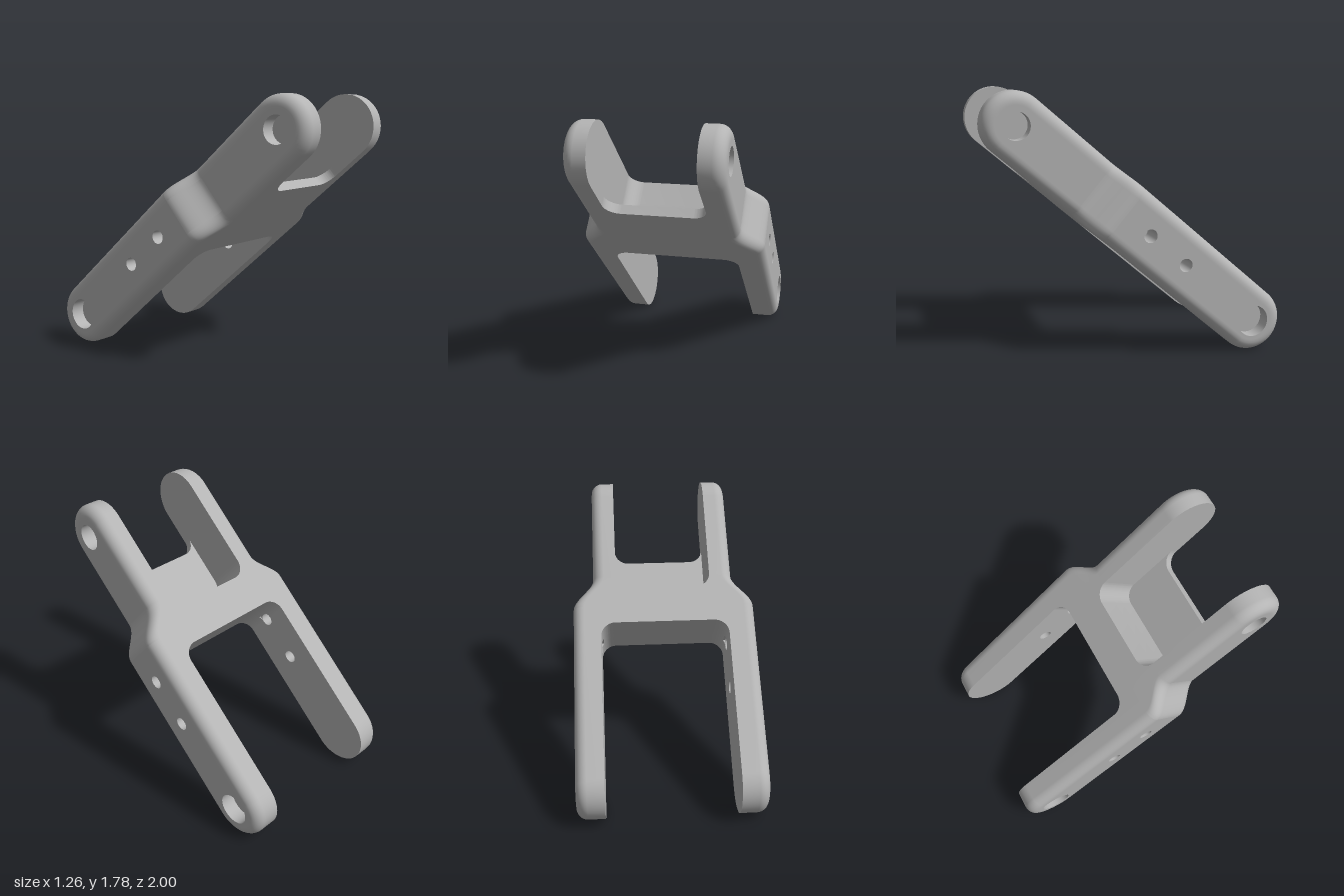
import * as THREE from 'three';
import { toCreasedNormals } from 'three/addons/utils/BufferGeometryUtils.js';

const R = 0.215, LEN = 2.071;         // arm half height, distance between pivots
const T0 = 1.2, T1 = 1.43;            // where the arms step inward
const FILLET = 0.075, INSET = 0.085;  // outer edge rounding, edge of the flat face
const STEPS = 14;
const BOLTS = [0.656, 0.98], BOLT_R = 0.045;

const innerX = u => (u < T0 - 1e-5 ? 0.44 : 0.33);
const outerX = u => 0.63 - 0.14 * THREE.MathUtils.smoothstep(u, T0, T1);

// Lengthwise samples of the step
const stepU = Array.from({ length: STEPS + 1 }, (_, i) => T0 + (T1 - T0) * i / STEPS);

// Closed arm outline (u along the arm, v across), inset by d
function outline(d) {
  const r = R - d, us = [0, T0 - 1e-4, ...stepU, LEN], pts = [], N = 28;
  us.forEach(u => pts.push(new THREE.Vector2(u, -r)));
  for (let i = 1; i < N; i++) {
    const a = Math.PI * i / N;
    pts.push(new THREE.Vector2(LEN + r * Math.sin(a), -r * Math.cos(a)));
  }
  us.slice().reverse().forEach(u => pts.push(new THREE.Vector2(u, r)));
  for (let i = 1; i < N; i++) {
    const a = Math.PI * i / N;
    pts.push(new THREE.Vector2(-r * Math.sin(a), r * Math.cos(a)));
  }
  return pts;
}

function indexed(pos, idx) {
  const g = new THREE.BufferGeometry();
  g.setAttribute('position', new THREE.Float32BufferAttribute(pos, 3));
  g.setIndex(idx);
  g.computeVertexNormals();
  return g;
}

// Reverse the facing of an indexed geometry
function flip(g, turnNormals = true) {
  const a = g.index.array, n = g.attributes.normal.array;
  for (let i = 0; i < a.length; i += 3) [a[i], a[i + 1]] = [a[i + 1], a[i]];
  if (turnNormals) for (let i = 0; i < n.length; i++) n[i] *= -1;
  return g;
}

// Rim wall with rounded outer edge
function rim() {
  const rows = [[0, null]];
  for (let i = 0; i <= 7; i++) {
    const t = Math.PI / 2 * i / 7;
    rows.push([FILLET * (1 - Math.cos(t)), FILLET * (Math.sin(t) - 1)]);
  }
  rows.push([INSET, 0]);
  const pos = [], idx = [], n = outline(0).length;
  rows.forEach(([d, dx], i) => outline(d).forEach((p, j) => {
    pos.push(dx === null ? innerX(p.x) : outerX(p.x) + dx, p.y, p.x);
    if (i === rows.length - 1) return;
    const a = i * n + j, b = i * n + (j + 1) % n;
    idx.push(a, a + n, b, b, a + n, b + n);
  }));
  return indexed(pos, idx);
}

// Flat side face at x with round holes [u, radius]
function face(x, d, keep, holes, outward) {
  const shape = new THREE.Shape(outline(d).filter(p => keep(p.x)));
  holes.forEach(([u, r]) => shape.holes.push(new THREE.Path().absarc(u, 0, r, 0, Math.PI * 2, true)));
  const g = new THREE.ShapeGeometry(shape, 24).rotateY(-Math.PI / 2).translate(x, 0, 0);
  return outward ? flip(g) : g;
}

// Sloped face of the step
function stepFace() {
  const pos = [], idx = [], w = R - INSET;
  stepU.forEach((u, i) => {
    pos.push(outerX(u), -w, u, outerX(u), w, u);
    const a = 2 * i;
    if (i < STEPS) idx.push(a, a + 1, a + 2, a + 1, a + 3, a + 2);
  });
  return indexed(pos, idx);
}

// Inward-facing wall of a hole
const bore = (u, r, x0, x1) => flip(new THREE.CylinderGeometry(r, r, x1 - x0, 48, 1, true)
  .rotateZ(Math.PI / 2).translate((x0 + x1) / 2, 0, u));

const boreFloor = (u, r, x) => new THREE.CircleGeometry(r, 48).rotateY(Math.PI / 2).translate(x, 0, u);

// Plan shape (x, u) extruded between two heights
function slab(shape, low, high) {
  const g = new THREE.ExtrudeGeometry(shape, { depth: high - low, bevelEnabled: false, curveSegments: 12 });
  return toCreasedNormals(g.rotateX(Math.PI / 2).translate(0, high, 0), 0.6);
}

// Concave rounded end of the front slot, its floor at u
function slotEnd(s, u) {
  s.lineTo(-0.33, u + 0.1);
  s.absarc(-0.23, u + 0.1, 0.1, Math.PI, Math.PI * 1.5, false);
  s.absarc(0.23, u + 0.1, 0.1, Math.PI * 1.5, Math.PI * 2, false);
}

// Bridge plan; cut trims the rear corners clear of the bolt holes
function bridgeShape(cut) {
  const a = Math.asin(cut / 0.1), s = new THREE.Shape();
  s.moveTo(0.44, T0);
  s.lineTo(0.44, 0.975 + cut);
  s.absarc(0.34, 0.975, 0.1, a, Math.PI / 2, false);
  s.absarc(-0.34, 0.975, 0.1, Math.PI / 2, Math.PI - a, false);
  s.lineTo(-0.44, 0.975 + cut);
  s.lineTo(-0.44, T0);
  s.lineTo(-0.33, T0);
  slotEnd(s, 1.335);
  s.lineTo(0.33, T0);
  return s;
}

function webShape() {
  const s = new THREE.Shape();
  s.moveTo(-0.33, 1.335);
  slotEnd(s, 1.716);
  s.lineTo(0.33, 1.335);
  return s;
}

export function createModel() {
  const metal = new THREE.MeshStandardMaterial({ color: 0xb4b4b4, side: THREE.DoubleSide });
  metal.name = 'grey metal';
  const model = new THREE.Group();
  model.name = 'linkArm';
  const add = (parent, name, geo) => {
    const m = new THREE.Mesh(geo, metal);
    m.name = name;
    parent.add(m);
  };

  // Arm parts, built for the +x side
  const bolts = BOLTS.map(u => [u, BOLT_R]), REAR = 0.108, FRONT = 0.09, DEPTH = 0.1;
  const parts = {
    rim: rim(),
    rearOuterFace: face(0.63, INSET, u => u < T0 + 1e-4, [...bolts, [0, REAR]], true),
    frontOuterFace: face(0.49, INSET, u => u > T1 - 1e-4, [[LEN, FRONT]], true),
    stepFace: stepFace(),
    rearInnerFace: face(0.44, 0, u => u < T0 + 1e-4, bolts, false),
    frontInnerFace: face(0.33, 0, u => u > T0 - 1e-5, [], false),
    rearSocket: bore(0, REAR, 0.63 - DEPTH, 0.63),
    rearSocketFloor: boreFloor(0, REAR, 0.63 - DEPTH),
    frontSocket: bore(LEN, FRONT, 0.49 - DEPTH, 0.49),
    frontSocketFloor: boreFloor(LEN, FRONT, 0.49 - DEPTH),
    lowerBoltHole: bore(BOLTS[0], BOLT_R, 0.44, 0.63),
    upperBoltHole: bore(BOLTS[1], BOLT_R, 0.44, 0.63),
  };
  for (const side of [1, -1]) {
    const arm = new THREE.Group();
    arm.name = side > 0 ? 'leftArm' : 'rightArm';
    for (const [name, geo] of Object.entries(parts))
      add(arm, name, side > 0 ? geo : flip(geo.clone().scale(-1, 1, 1), false));
    model.add(arm);
  }

  // Bridge in three layers, leaving the bolt holes open, plus the thin front web
  add(model, 'bridgeTop', slab(bridgeShape(0), BOLT_R, R));
  add(model, 'bridgeMiddle', slab(bridgeShape(0.05), -BOLT_R, BOLT_R));
  add(model, 'bridgeBottom', slab(bridgeShape(0), -R, -BOLT_R));
  add(model, 'frontWeb', slab(webShape(), -R, -R + 0.065));

  // Tilt the link so the front end is raised
  const tilted = new THREE.Group();
  tilted.name = 'link';
  model.rotation.x = -Math.asin(1.35 / LEN);
  model.position.set(0, R, -0.785);
  tilted.add(model);
  return tilted;
}
